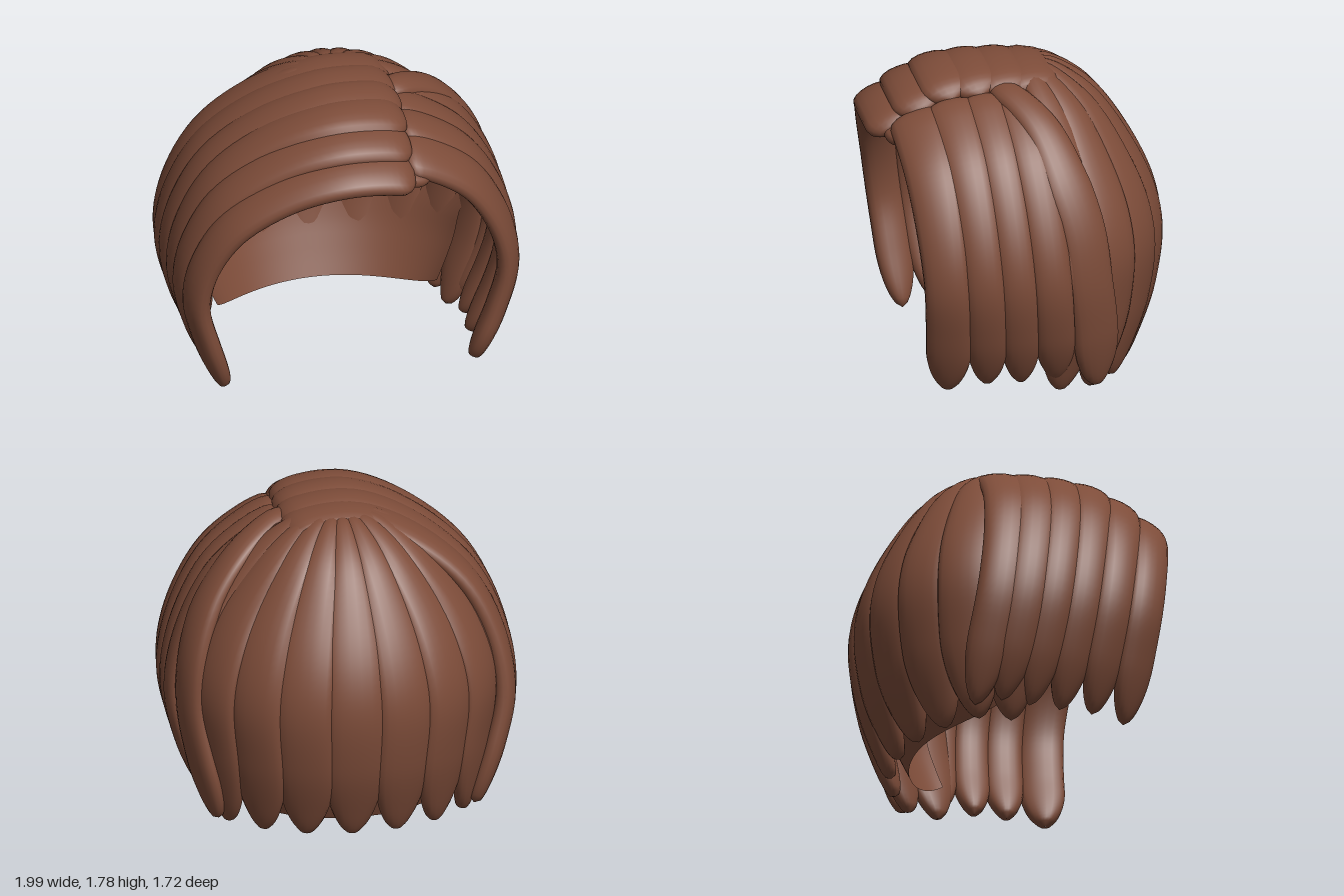
import * as THREE from 'three';

const brown = new THREE.MeshStandardMaterial({ color: 0x7d4c39 });
brown.name = 'brown hair';
const brownSheet = new THREE.MeshStandardMaterial({ color: 0x7d4c39, side: THREE.DoubleSide });
brownSheet.name = 'brown hair lining';

const V = (x, y, z) => new THREE.Vector3(x, y, z);

// A flattened lock of hair swept along points. Its broad face looks away from centre(p);
// width(t) and thick are half sizes, rounded off over the first and last parts.
function lock(name, points, centre, width, thick, startRound, tipRound) {
  const curve = new THREE.CatmullRomCurve3(points, false, 'centripetal');
  const rows = 52, sides = 18, pos = [], index = [];
  for (let i = 0; i <= rows; i++) {
    const u = i / rows;
    const t = 0.5 * u + 0.5 * (1 - Math.cos(Math.PI * u)) / 2; // rows gather at the ends
    const p = curve.getPointAt(t), T = curve.getTangentAt(t);
    const N = p.clone().sub(centre(p));
    N.addScaledVector(T, -N.dot(T)).normalize();
    const B = T.clone().cross(N);
    const a = Math.max(0, 1 - t / startRound), b = Math.max(0, (t - 1 + tipRound) / tipRound);
    const start = Math.sqrt(Math.max(0, 1 - a * a)), tip = Math.pow(Math.max(0, 1 - b * b), 0.6);
    const w = Math.max(0.001, width(t) * start * tip);
    const h = Math.max(0.001, thick * start * Math.sqrt(tip));
    for (let j = 0; j < sides; j++) {
      const c = Math.cos(j / sides * 2 * Math.PI), s = Math.sin(j / sides * 2 * Math.PI);
      const q = p.clone().addScaledVector(B, w * c)
        .addScaledVector(N, h * Math.sign(s) * Math.pow(Math.abs(s), 0.85));
      pos.push(q.x, q.y, q.z);
      if (i < rows) {
        const k = i * sides + j, n = i * sides + (j + 1) % sides;
        index.push(k, k + sides, n, n, k + sides, n + sides);
      }
    }
  }
  const g = new THREE.BufferGeometry();
  g.setAttribute('position', new THREE.Float32BufferAttribute(pos, 3));
  g.setIndex(index);
  g.computeVertexNormals();
  const mesh = new THREE.Mesh(g, brown);
  mesh.name = name;
  return mesh;
}

// Arched paths from the parting down each side, as [x, y]
const rightArch = [[0.34, 1.65], [0.17, 1.71], [-0.1, 1.72], [-0.42, 1.6], [-0.72, 1.35],
  [-0.88, 1.03], [-0.93, 0.7], [-0.865, 0.4], [-0.74, 0.06]];
const leftArch = [[0.28, 1.62], [0.45, 1.55], [0.69, 1.36], [0.87, 1.03], [0.93, 0.7],
  [0.865, 0.4], [0.73, 0.06]];

// Side lock: z drifts back from zTop to zBottom; the crown is lowered by rise and narrowed by wide.
// lean sets how far the broad face keeps to the side rather than turning to the front or back.
function sideLock(name, arch, [zTop, zBottom, rise, wide, halfWidth, tipLift, lean]) {
  const pts = arch.map(([x, y], i) => {
    const f = Math.pow(Math.max(0, (1.73 - y) / 1.67), 0.6);
    const yy = y > 0.6 ? 0.6 + (y - 0.6) * rise : y;
    return V(x * wide, yy + (i === arch.length - 1 ? tipLift : 0), zTop + (zBottom - zTop) * f);
  });
  return lock(name, pts, p => V(0, 0.65, p.z * lean),
    t => halfWidth * (1.22 - 0.27 * Math.min(1, t / 0.6)), 0.063, 0.05, 0.16);
}

// Sideways flare of the back near the hem
const flare = (y, amount) => 0.97 + amount * Math.max(0, 1 - y / 0.5);

export function createModel() {
  const hair = new THREE.Group();
  hair.name = 'bobHair';

  // Smooth lining behind the back locks, its hem rising at both ends
  const profile = [[0.6, 0.06], [0.69, 0.22], [0.785, 0.4], [0.885, 0.65], [0.92, 0.85], [0.875, 1.03],
    [0.75, 1.28], [0.47, 1.54], [0.2, 1.67], [0.001, 1.69]].map(([r, y]) => new THREE.Vector2(r, y));
  const liningShape = new THREE.LatheGeometry(
    new THREE.SplineCurve(profile).getPoints(40), 40, Math.PI - 1.25, 2.5);
  const p = liningShape.attributes.position;
  for (let i = 0; i < p.count; i++) {
    const x = p.getX(i), y = p.getY(i), z = p.getZ(i);
    const end = Math.pow(Math.abs(Math.atan2(x, -z)) / 1.25, 4);
    p.setXYZ(i, x * flare(y, 0.15), y + 0.13 * end * Math.max(0, 1 - y), z * 0.87);
  }
  liningShape.computeVertexNormals();
  const lining = new THREE.Mesh(liningShape, brownSheet);
  lining.name = 'lining';
  hair.add(lining);

  // Back locks fanned out from the crown, as [radius, y]
  const backPath = [[0.1, 1.705], [0.25, 1.67], [0.47, 1.54], [0.75, 1.26], [0.89, 1.0],
    [0.935, 0.78], [0.89, 0.47], [0.78, 0.17], [0.72, 0.01]];
  const backLocks = new THREE.Group();
  backLocks.name = 'backLocks';
  for (let i = -4; i <= 4; i++) {
    const a = i * 0.32, spread = Math.abs(i) === 4 ? 0.02 : 0.14;
    const pts = backPath.map(([r, y]) => V(
      flare(y, spread) * r * Math.sin(a), y, -0.855 * r * Math.cos(a) - (y > 1.5 ? 0.04 : 0)));
    backLocks.add(lock('backLock', pts, () => V(0, 0.75, 0),
      t => 0.05 + 0.118 * Math.sin(Math.min(1, t / 0.5) * Math.PI / 2), 0.068, 0.05, 0.24));
  }
  hair.add(backLocks);

  // Long locks swept over the top to the right: [zTop, zBottom, rise, wide, halfWidth, tipLift, lean]
  const rightLocks = new THREE.Group();
  rightLocks.name = 'rightLocks';
  [[0.735, 0.47, 0.825, 0.96, 0.12, 0, 0.5], [0.58, 0.28, 0.92, 0.985, 0.125, 0.03, 0.5],
    [0.42, 0.09, 0.985, 0.99, 0.125, 0.03, 0.55], [0.26, -0.09, 1, 1, 0.125, 0.03, 0.55],
    [0.09, -0.25, 1, 0.995, 0.13, 0.04, 0.55], [-0.07, -0.4, 0.99, 0.97, 0.13, 0, 0.5]]
    .forEach(v => rightLocks.add(sideLock('rightLock', rightArch, v)));
  hair.add(rightLocks);

  // Shorter locks falling from the parting to the left
  const leftLocks = new THREE.Group();
  leftLocks.name = 'leftLocks';
  [[0.6, 0.46, 0.93, 0.965, 0.135, 0, 0.45], [0.41, 0.24, 0.99, 0.995, 0.12, 0.03, 0.6],
    [0.23, 0.05, 1.01, 1, 0.115, 0.03, 0.7], [0.06, -0.15, 1.02, 1, 0.12, 0.04, 0.7]]
    .forEach(v => leftLocks.add(sideLock('leftLock', leftArch, v)));
  hair.add(leftLocks);

  // Long lock crossing the parting and falling behind the left side
  hair.add(lock('partingLock',
    [V(0.24, 1.67, 0.13), V(0.4, 1.63, 0.02), V(0.58, 1.51, -0.1), V(0.76, 1.27, -0.2), V(0.85, 1.0, -0.28),
      V(0.87, 0.7, -0.32), V(0.82, 0.4, -0.36), V(0.72, 0.04, -0.38)],
    p => V(0, 0.65, p.z * 0.1), t => 0.08 + 0.06 * Math.min(1, t / 0.4), 0.06, 0.07, 0.17));

  // Small curl under the fringe end
  hair.add(lock('fringeCurl', [V(0.24, 1.49, 0.68), V(0.32, 1.45, 0.68), V(0.42, 1.45, 0.62)],
    () => V(0, 0.65, 0.5), () => 0.07, 0.045, 0.35, 0.45));

  return hair;
}
